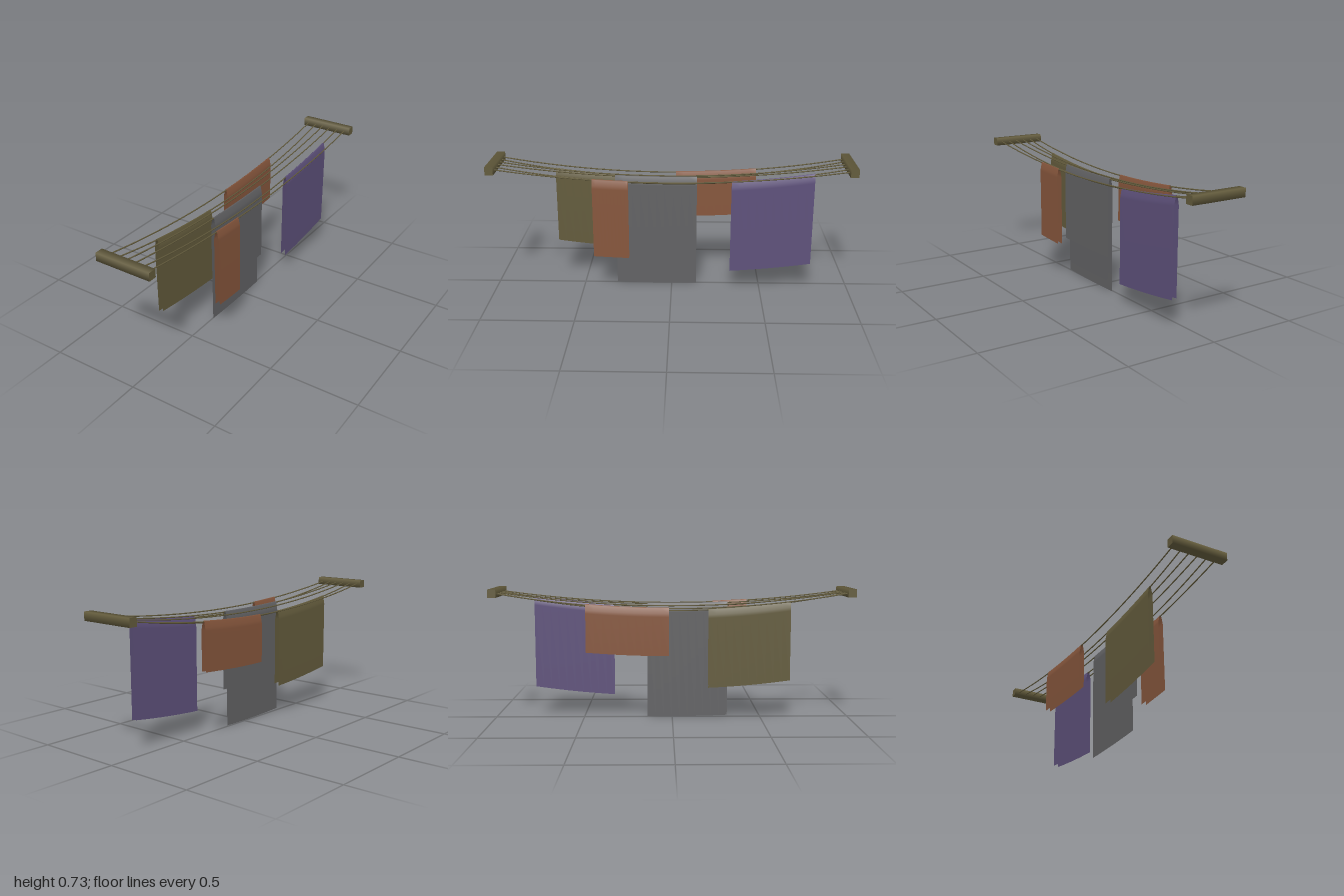
import * as THREE from 'three';

const mat = (name, color, double) => {
  const m = new THREE.MeshStandardMaterial({ color });
  m.name = name;
  if (double) m.side = THREE.DoubleSide;
  return m;
};

const END_Y = 0.7125, END_Z = 0.97, ROPE_R = 0.0035;

// Height of a sagging rope whose lowest point is at z = 0
const sag = (low, z) => low + (END_Y - low) * (z / END_Z) ** 2;

// Cloth folded over a rope: a tent-shaped profile swept along the sag
function clothGeometry(x, low, z0, z1, leftDrop, rightDrop) {
  const profile = [
    [-0.014, -leftDrop], [-0.014, -0.045], [-0.011, -0.028], [-0.005, 0.002],
    [0, 0.006],
    [0.005, 0.002], [0.011, -0.028], [0.014, -0.045], [0.014, -rightDrop],
  ];
  const steps = 10, n = profile.length, positions = [], index = [];
  for (let i = 0; i <= steps; i++) {
    const z = z0 + (z1 - z0) * i / steps, y = sag(low, z);
    for (const [px, py] of profile) positions.push(x + px, y + py, z);
  }
  for (let i = 0; i < steps; i++) {
    for (let j = 0; j < n - 1; j++) {
      const a = i * n + j, b = a + 1, c = a + n, d = c + 1;
      index.push(a, c, b, b, c, d);
    }
  }
  const g = new THREE.BufferGeometry();
  g.setAttribute('position', new THREE.Float32BufferAttribute(positions, 3));
  g.setIndex(index);
  g.computeVertexNormals();
  return g;
}

export function createModel() {
  const model = new THREE.Group();
  model.name = 'clothesLines';
  const olive = mat('olive', 0x635b3c, true);
  const rust = mat('rust', 0x86563c, true);
  const grey = mat('grey', 0x626264, true);
  const purple = mat('purple', 0x5e517b, true);

  const add = (name, geometry, material) => {
    const mesh = new THREE.Mesh(geometry, material);
    mesh.name = name;
    model.add(mesh);
    return mesh;
  };

  // Square end bars with soft shading
  for (const s of [1, -1]) {
    const bar = new THREE.CylinderGeometry(0.0318, 0.0318, 0.318, 4, 1, false, Math.PI / 4);
    bar.rotateZ(Math.PI / 2);
    add(s > 0 ? 'frontBar' : 'backBar', bar, olive).position.set(0, END_Y, s * 0.9775);
  }

  // Ropes, each with its own sag, and the cloth hung over it
  const lines = [
    { x: -0.128, low: 0.6285, cloth: ['rustTowel', rust, -0.475, -0.02, 0.26, 0.26] },
    { x: -0.078, low: 0.6135, cloth: ['oliveSheet', olive, 0.2, 0.655, 0.435, 0.425] },
    { x: -0.028, low: 0.6365 },
    { x: 0.022, low: 0.6435, cloth: ['greySheet', grey, -0.14, 0.313, 0.6435, 0.44] },
    { x: 0.073, low: 0.6235, cloth: ['purpleSheet', purple, -0.78, -0.33, 0.515, 0.52] },
    { x: 0.123, low: 0.6435, cloth: ['rustScarf', rust, 0.235, 0.43, 0.443, 0.44] },
  ];
  lines.forEach(({ x, low, cloth }, i) => {
    const points = [];
    for (let k = -8; k <= 8; k++) {
      const z = END_Z * k / 8;
      points.push(new THREE.Vector3(x, sag(low, z), z));
    }
    const curve = new THREE.CatmullRomCurve3(points);
    add('rope' + (i + 1), new THREE.TubeGeometry(curve, 32, ROPE_R, 6), olive);
    if (cloth) {
      const [name, material, ...dims] = cloth;
      add(name, clothGeometry(x, low, ...dims), material);
    }
  });

  return model;
}
